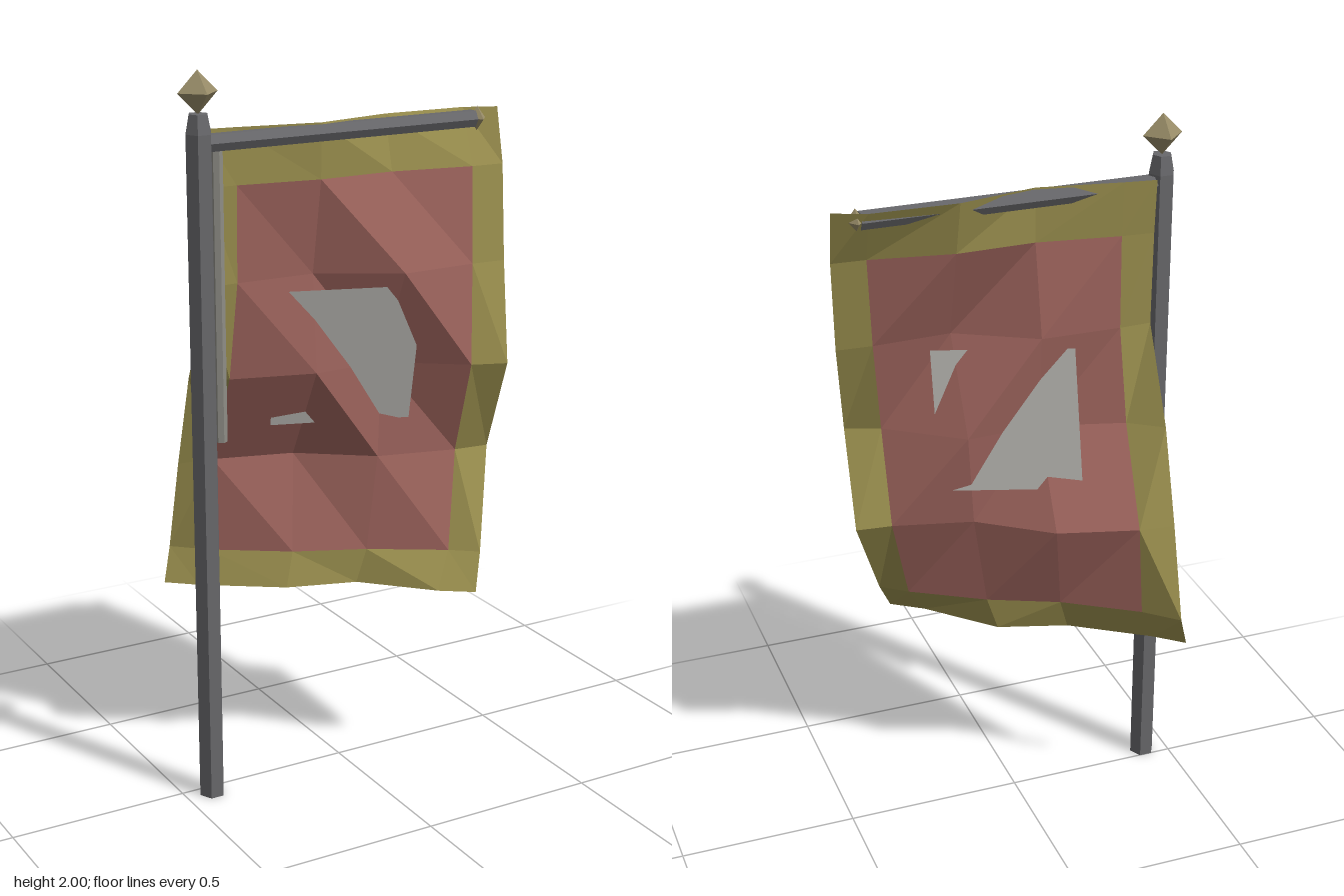
import * as THREE from 'three';

const mat = (color, side = THREE.FrontSide) =>
  new THREE.MeshStandardMaterial({ color, flatShading: true, side });

// Rows of the hanging cloth, top to bottom: height, x of each column, z of each column
const ROWS = [
  { y: 1.84, x: [-0.39, -0.30, -0.07, 0.15, 0.39, 0.48], z: [-0.022, -0.01, 0.033, -0.012, -0.006, 0.03] },
  { y: 1.69, x: [-0.39, -0.30, -0.07, 0.15, 0.38, 0.475], z: [-0.012, -0.005, 0.03, 0.025, 0.065, 0.07] },
  { y: 1.43, x: [-0.39, -0.30, -0.075, 0.14, 0.36, 0.46], z: [-0.006, -0.01, -0.008, 0.115, 0.105, 0.11] },
  { y: 1.16, x: [-0.40, -0.31, -0.08, 0.13, 0.33, 0.425], z: [-0.11, -0.045, 0.02, 0.008, 0.155, 0.19] },
  { y: 0.895, x: [-0.40, -0.30, -0.08, 0.11, 0.33, 0.43], z: [-0.19, -0.18, -0.118, 0.025, 0.08, 0.09] },
  { y: 0.63, x: [-0.40, -0.315, -0.12, 0.07, 0.265, 0.335], z: [-0.26, -0.18, -0.05, 0.035, 0.155, 0.21] },
  { y: 0.535, x: [-0.43, -0.355, -0.15, 0.04, 0.205, 0.29], z: [-0.235, -0.17, -0.03, 0.03, 0.2, 0.26] },
];

// Builds the cloth cells chosen by the test as flat triangles
function clothCells(test) {
  const p = [];
  const at = (r, c) => [ROWS[r].x[c], ROWS[r].y, ROWS[r].z[c]];
  for (let r = 0; r < ROWS.length - 1; r++) {
    for (let c = 0; c < 5; c++) {
      if (!test(r, c)) continue;
      const a = at(r, c), b = at(r, c + 1), d = at(r + 1, c), e = at(r + 1, c + 1);
      // The lower left border folds along the other diagonal
      if (c === 0 && r === 4) p.push(...a, ...d, ...b, ...b, ...d, ...e);
      else p.push(...a, ...d, ...e, ...a, ...e, ...b);
    }
  }
  const g = new THREE.BufferGeometry();
  g.setAttribute('position', new THREE.Float32BufferAttribute(p, 3));
  g.computeVertexNormals();
  return g;
}

export function createModel() {
  const group = new THREE.Group();
  const iron = mat(0x68686b);
  const gold = mat(0x988c68);
  const add = (name, geometry, material, x = 0, y = 0, z = 0) => {
    const mesh = new THREE.Mesh(geometry, material);
    mesh.name = name;
    mesh.position.set(x, y, z);
    group.add(mesh);
  };
  const px = -0.425, pz = 0.033;

  // Six-sided pole with tapered collar and diamond finial
  const hex = (top, bottom, h) =>
    new THREE.CylinderGeometry(top, bottom, h, 6).rotateY(Math.PI / 6).scale(1, 1, 1.1);
  add('pole', hex(0.036, 0.036, 1.84), iron, px, 0.92, pz);
  add('poleCollar', hex(0.026, 0.036, 0.05), iron, px, 1.865, pz);
  add('finial', new THREE.OctahedronGeometry(0.056), gold, px, 1.944, pz);

  // Crossbar with pointed end
  const bar = new THREE.CylinderGeometry(0.025, 0.025, 0.81, 6).rotateZ(Math.PI / 2);
  add('crossbar', bar, iron, 0.0, 1.813, 0.027);
  const tip = new THREE.OctahedronGeometry(0.033).scale(0.8, 1, 1);
  add('crossbarTip', tip, gold, 0.416, 1.813, 0.028);

  // Slim rod beside the pole
  add('sideRod', new THREE.CylinderGeometry(0.016, 0.016, 0.79, 6), mat(0x8e8d86), -0.37, 1.41, 0.022);

  // Cloth: coloured field inside a border one cell wide
  const isField = (r, c) => r > 0 && r < 5 && c > 0 && c < 4;
  add('clothField', clothCells(isField), mat(0x9c635c, THREE.DoubleSide));
  add('clothBorder', clothCells((r, c) => !isField(r, c)), mat(0x988d4d, THREE.DoubleSide));

  // Flat tilted panel that cuts through the cloth folds
  const panel = new THREE.PlaneGeometry(0.37, 0.39).translate(0.015, 1.195, 0);
  const pos = panel.attributes.position;
  for (let i = 0; i < pos.count; i++) {
    pos.setZ(i, -0.025 + 0.33 * pos.getX(i) + 0.18 * (pos.getY(i) - 1));
  }
  panel.computeVertexNormals();
  add('centrePanel', panel, mat(0xaeada8, THREE.DoubleSide));

  return group;
}
